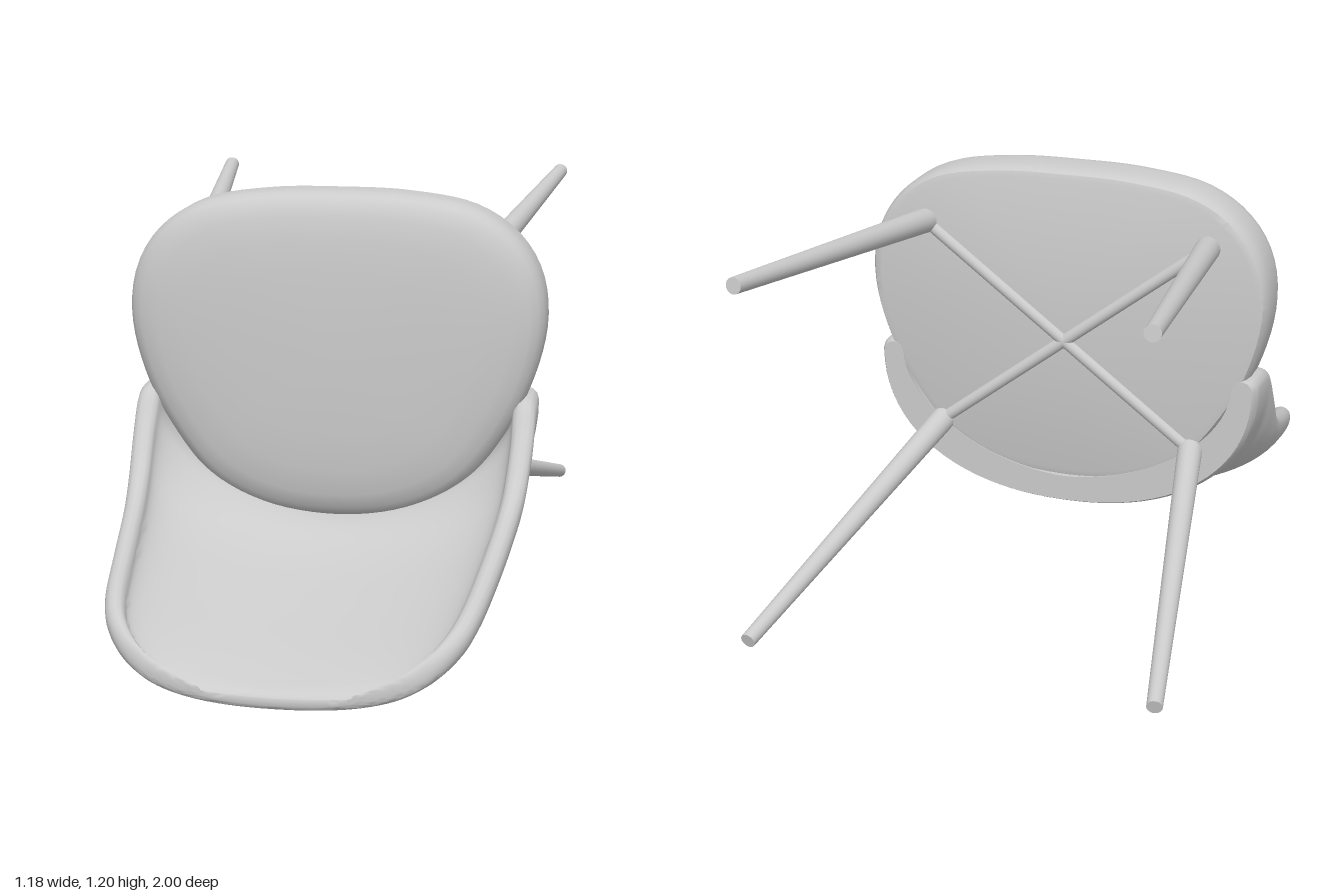
import * as THREE from 'three';
import { toCreasedNormals } from 'three/addons/utils/BufferGeometryUtils.js';

const material = new THREE.MeshStandardMaterial({ color: 0xcccccc });
const V = (x, y, z) => new THREE.Vector3(x, y, z);

// Skin over closed rings of equal length, counter-clockwise seen from +z, ordered by rising z
function loft(rings, crease) {
  const n = rings[0].length, pos = [], idx = [];
  rings.forEach(ring => ring.forEach(p => pos.push(p.x, p.y, p.z)));
  for (let r = 0; r < rings.length - 1; r++) {
    for (let i = 0; i < n; i++) {
      const j = (i + 1) % n, a = r * n + i, b = r * n + j;
      idx.push(a, b, b + n, a, b + n, a + n);
    }
  }
  const geo = new THREE.BufferGeometry();
  geo.setAttribute('position', new THREE.Float32BufferAttribute(pos, 3));
  geo.setIndex(idx);
  return toCreasedNormals(geo, crease);
}

// Round bar between two points
function bar(name, from, to, rFrom, rTo) {
  const dir = to.clone().sub(from);
  const mesh = new THREE.Mesh(new THREE.CylinderGeometry(rTo, rFrom, dir.length(), 20), material);
  mesh.position.copy(from).add(to).multiplyScalar(0.5);
  mesh.quaternion.setFromUnitVectors(V(0, 1, 0), dir.normalize());
  mesh.name = name;
  return mesh;
}

// Domed cushion: a mirrored outline scaled through a thickness profile
function seatCushion() {
  const half = [[0, 0.268], [0.2, 0.292], [0.36, 0.372], [0.47, 0.505], [0.552, 0.665], [0.591, 0.84],
    [0.572, 0.98], [0.505, 1.085], [0.39, 1.16], [0.2, 1.195], [0, 1.201]];
  const mirrored = half.slice(1, -1).reverse().map(([x, y]) => [-x, y]);
  const curve = new THREE.CatmullRomCurve3([...half, ...mirrored].map(([x, y]) => V(x, y, 0)), true);
  const outline = curve.getSpacedPoints(96).slice(0, -1);
  const profile = [[0, -0.02], [0.94, -0.02], [0.975, -0.015], [0.99, 0], [1, 0.03], [1, 0.1], [0.992, 0.125],
    [0.97, 0.147], [0.93, 0.163], [0.85, 0.177], [0.7, 0.188], [0.5, 0.195], [0.25, 0.199], [0, 0.2]];
  const cy = 0.76;
  const rings = profile.map(([s, z]) => outline.map(p => V(p.x * s, cy + (p.y - cy) * s, z)));
  return new THREE.Mesh(loft(rings, 0.8), material);
}

// Curved back: U-shaped sections with a rounded rim, thickest where they cradle the cushion
function backShell() {
  // z, half width, bottom height, rim height, side thickness, floor thickness
  const stations = [
    [-0.02, 0.555, 0.2, 0.635, 0.06, 0.075], [0, 0.565, 0.19, 0.637, 0.063, 0.085],
    [0.06, 0.57, 0.18, 0.637, 0.065, 0.095], [0.14, 0.57, 0.165, 0.622, 0.065, 0.105],
    [0.2, 0.568, 0.153, 0.548, 0.062, 0.105], [0.3, 0.558, 0.135, 0.435, 0.06, 0.085],
    [0.4, 0.545, 0.117, 0.372, 0.058, 0.072], [0.6, 0.522, 0.08, 0.297, 0.058, 0.062],
    [0.8, 0.493, 0.038, 0.233, 0.056, 0.06], [0.88, 0.467, 0.02, 0.198, 0.054, 0.058],
    [0.94, 0.42, 0.006, 0.155, 0.05, 0.055], [0.975, 0.355, 0.001, 0.11, 0.046, 0.05],
    [0.993, 0.28, 0.004, 0.078, 0.034, 0.038], [1, 0.21, 0.014, 0.055, 0.016, 0.02]];
  const curves = [1, 2, 3, 4, 5].map(k =>
    new THREE.CatmullRomCurve3(stations.map(s => V(s[0], s[k], 0)), false, 'centripetal'));
  const n = 40;
  const arc = (w, top, bottom, z, power, i) => {
    const a = Math.PI * i / n, c = Math.cos(a), e = 2 / power;
    return V(-w * Math.sign(c) * Math.abs(c) ** e, top - (top - bottom) * Math.abs(Math.sin(a)) ** e, z);
  };
  const section = t => {
    const [w, bottom, rim, th, floor] = curves.map(c => c.getPoint(t).y);
    const z = curves[0].getPoint(t).x, r = th / 2, ring = [];
    for (let i = 0; i <= n; i++) ring.push(arc(w, rim - r, bottom, z, 2.2, i));
    const edge = side => {
      for (let k = 1; k < 6; k++) {
        const a = Math.PI * k / 6;
        ring.push(V(side * (w - r) + r * Math.cos(a), rim - r + r * Math.sin(a), z));
      }
    };
    edge(1);
    for (let i = n; i >= 0; i--) ring.push(arc(w - th, rim - r, bottom + floor, z, 1.8, i));
    edge(-1);
    return ring;
  };
  // Closes an end by folding outer and inner wall onto their middle line
  const folded = ring => ring.map((p, i) => {
    const m = ring.length, j = (2 * n + 6 - i + m) % m;
    return p.clone().add(ring[j]).multiplyScalar(0.5);
  });
  const rings = [];
  for (let k = 0; k <= 70; k++) rings.push(section(k / 70));
  rings.unshift(folded(rings[0]));
  rings.push(folded(rings[rings.length - 1]));
  return new THREE.Mesh(loft(rings, 0.9), material);
}

export function createModel() {
  const model = new THREE.Group();
  model.name = 'chair';

  const seat = seatCushion();
  seat.name = 'seatCushion';
  const back = backShell();
  back.name = 'backShell';
  model.add(seat, back);

  // Splayed tapering legs
  for (const side of [-1, 1]) {
    const name = side > 0 ? 'left' : 'right';
    model.add(
      bar(name + 'FrontLeg', V(side * 0.415, 1.015, 0), V(side * 0.54, 1.13, -0.998), 0.036, 0.022),
      bar(name + 'RearLeg', V(side * 0.375, 0.41, 0), V(side * 0.558, 0.135, -0.995), 0.036, 0.021),
      // Diagonal braces under the seat
      bar(name + 'Brace', V(side * 0.415, 1.015, -0.016), V(-side * 0.375, 0.41, -0.016), 0.018, 0.018)
    );
  }
  return model;
}
